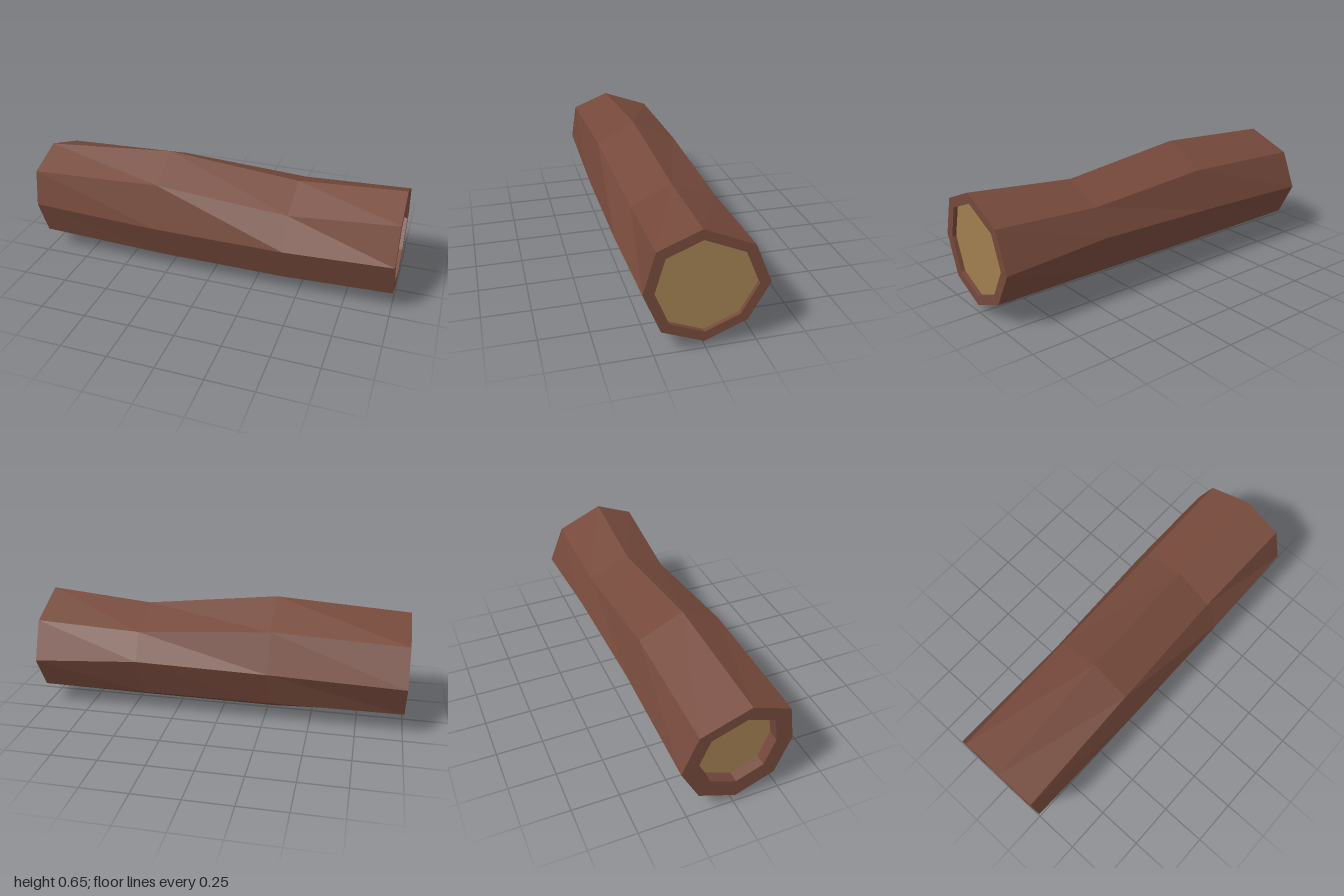
import * as THREE from 'three';

const bark = new THREE.MeshStandardMaterial({ color: 0x75493b, flatShading: true });
bark.name = 'bark brown';
const wood = new THREE.MeshStandardMaterial({ color: 0xa07e50, flatShading: true });
wood.name = 'cut wood tan';

// Cross-sections along the log: x, then eight [z, y] corners from the top round the front
const sections = [
  [-1, [[0.06, 0.605], [0.265, 0.525], [0.295, 0.33], [0.215, 0.123], [0.01, 0.04], [-0.19, 0.125], [-0.285, 0.31], [-0.2, 0.51]]],
  [-0.28, [[0.038, 0.655], [0.25, 0.55], [0.305, 0.31], [0.22, 0.103], [0.025, 0], [-0.19, 0.12], [-0.275, 0.325], [-0.2, 0.537]]],
  [0.43, [[0.01, 0.58], [0.22, 0.48], [0.305, 0.31], [0.22, 0.103], [0.025, 0.002], [-0.19, 0.12], [-0.292, 0.345], [-0.22, 0.49]]],
  [1, [[0.03, 0.625], [0.24, 0.54], [0.3, 0.332], [0.215, 0.123], [0.01, 0.038], [-0.2, 0.123], [-0.305, 0.31], [-0.22, 0.515]]],
];
const CENTRE_Y = 0.328;

const toRing = ([x, pts]) => pts.map(([z, y]) => new THREE.Vector3(x, y, z));

// Copy of an end ring, shrunk around the log's axis and moved along x
const inset = (ring, scale, dx, dy = 0) =>
  ring.map((p) => new THREE.Vector3(p.x + dx, CENTRE_Y + dy + (p.y - CENTRE_Y) * scale, p.z * scale));

function makeMesh(name, points, material) {
  const geometry = new THREE.BufferGeometry().setFromPoints(points);
  geometry.computeVertexNormals();
  const mesh = new THREE.Mesh(geometry, material);
  mesh.name = name;
  return mesh;
}

// Skin a sequence of rings with flat facets
function skin(rings) {
  const points = [];
  for (let r = 0; r < rings.length - 1; r++) {
    const a = rings[r], b = rings[r + 1];
    for (let i = 0; i < a.length; i++) {
      const j = (i + 1) % a.length;
      points.push(a[i], a[j], b[j], a[i], b[j], b[i]);
    }
  }
  return points;
}

// Fan that closes a ring, facing +x or -x
function cap(ring, side) {
  const points = [];
  for (let i = 1; i < ring.length - 1; i++) {
    points.push(ring[0], ...(side > 0 ? [ring[i], ring[i + 1]] : [ring[i + 1], ring[i]]));
  }
  return points;
}

export function createModel() {
  const group = new THREE.Group();
  group.name = 'log';
  const rings = sections.map(toRing);

  // Rims and recessed ends; the right-hand rim is thicker and deeper
  const rightLip = inset(rings[0], 0.7, 0, 0.015);
  const rightFloor = inset(rings[0], 0.7, 0.06, 0.015);
  const leftLip = inset(rings[3], 0.82, 0);
  const leftFloor = inset(rings[3], 0.82, -0.022);

  group.add(makeMesh('barkShell', skin([rightFloor, rightLip, ...rings, leftLip, leftFloor]), bark));
  group.add(makeMesh('rightCutEnd', cap(rightFloor, -1), wood));
  group.add(makeMesh('leftCutEnd', cap(leftFloor, 1), wood));
  return group;
}
